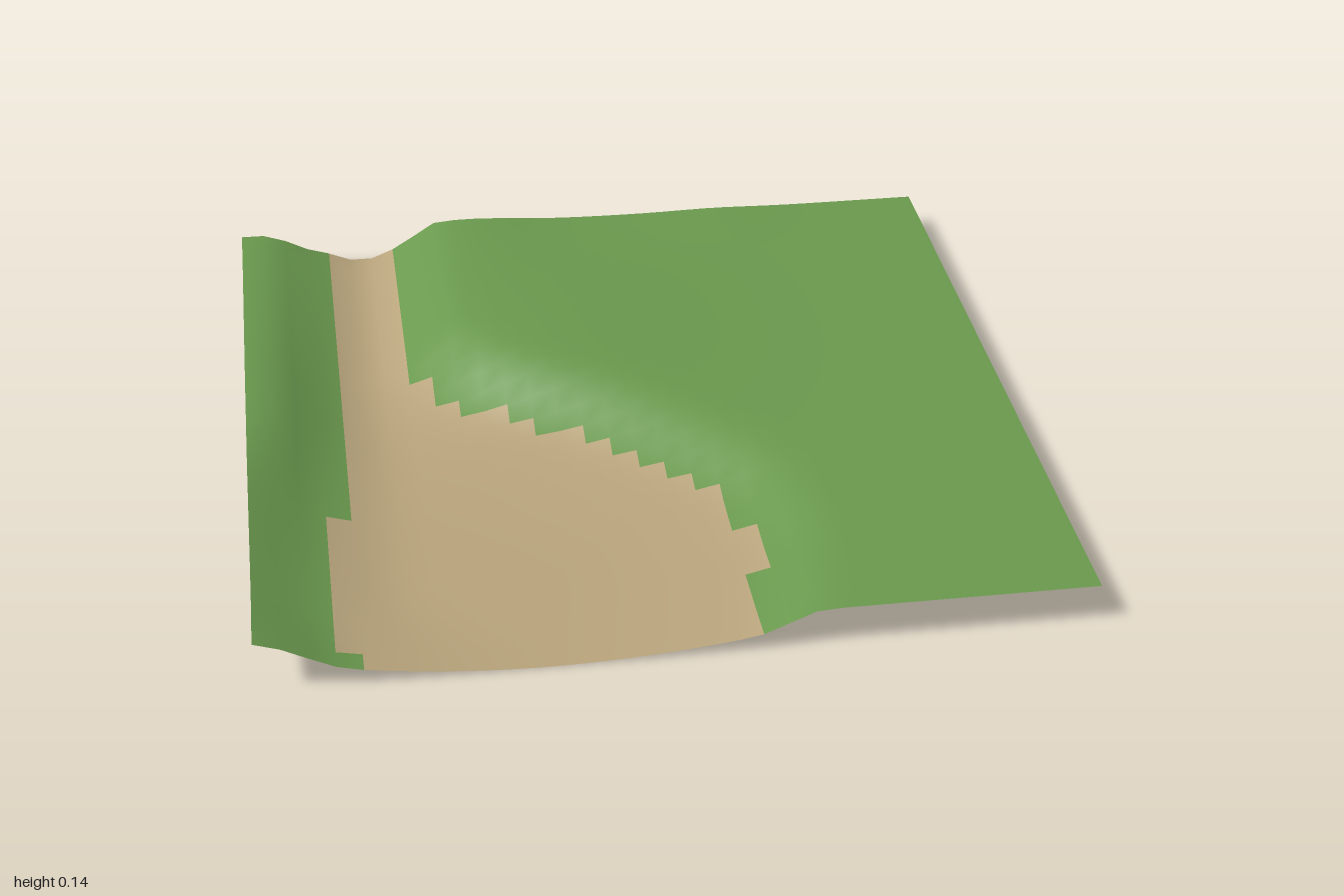
import * as THREE from 'three';

const N = 32, STEP = 2 / N;

// Piecewise-linear curve through [position, value] pairs
function curve(points, t) {
  if (t <= points[0][0]) return points[0][1];
  for (let i = 1; i < points.length; i++) {
    const [a, va] = points[i - 1], [b, vb] = points[i];
    if (t <= b) return va + (vb - va) * (t - a) / (b - a);
  }
  return points[points.length - 1][1];
}

// Shortest distance from (x, z) to a bank line given as [z, x] pairs
function distance(points, x, z) {
  let best = Infinity;
  for (let i = 1; i < points.length; i++) {
    const [az, ax] = points[i - 1], [bz, bx] = points[i];
    const dx = bx - ax, dz = bz - az;
    const t = THREE.MathUtils.clamp(((x - ax) * dx + (z - az) * dz) / (dx * dx + dz * dz), 0, 1);
    best = Math.min(best, Math.hypot(x - ax - t * dx, z - az - t * dz));
  }
  return best;
}

// Edges of the sandy bed, as [z, x]
const rightBank = [[-1.3, -0.56], [-0.35, -0.56], [-0.16, -0.48], [-0.03, -0.35], [0.09, -0.16],
  [0.22, 0], [0.35, 0.13], [0.45, 0.2], [0.65, 0.235], [0.8, 0.21], [1, 0.18], [1.3, 0.15]];
const leftBank = [[-1.3, -0.75], [0, -0.76], [0.4, -0.79], [0.8, -0.8], [1, -0.755], [1.3, -0.72]];
// Height of the ridge left of the bed, as [z, y]
const ridge = [[-1, 0.11], [-0.85, 0.108], [-0.6, 0.117], [-0.2, 0.135], [0.2, 0.142], [0.6, 0.142], [1, 0.138]];

function height(x, z) {
  const right = distance(rightBank, x, z), left = distance(leftBank, x, z);
  const edge = 0.038;
  if (x > curve(rightBank, z)) {
    const plateau = 0.1
      + 0.03 * Math.exp(-(((x + 0.2) / 0.42) ** 2) - ((z + 0.3) / 0.5) ** 2)
      + 0.018 * Math.exp(-(((x + 0.35) / 0.2) ** 2) - ((z + 1) / 0.35) ** 2)
      + 0.006 * Math.exp(-(((x - 0.4) / 0.15) ** 2) - ((z + 0.95) / 0.12) ** 2);
    const width = curve([[-0.6, 0.14], [0, 0.2], [0.4, 0.18], [1, 0.16]], z);
    const t = Math.min(1, (right + 0.01) / width);
    return edge + (plateau - edge) * (0.35 * t + 0.65 * t * t * (3 - 2 * t));
  }
  if (x < curve(leftBank, z)) {
    const width = curve([[-1, 0.19], [0, 0.2], [0.4, 0.24], [0.7, 0.27], [1, 0.25]], z);
    const t = Math.min(1, left / width);
    return edge + (curve(ridge, z) - edge) * (0.2 * t + 0.8 * t * t * (3 - 2 * t));
  }
  // Bowl-shaped bed, steeper on the left, gentle on the right
  const rightReach = curve([[-0.4, 0.14], [0.3, 0.5]], z);
  const r = Math.max(0, 1 - right / rightReach);
  const l = Math.max(0, 1 - left / curve([[-0.4, 0.14], [0.7, 0.2], [1, 0.45]], z));
  return edge * Math.min(1, Math.max(r, l) ** 2);
}

// Sandy cells of each row
const sandEnds = [...Array(12).fill(7), 8, 8, 9, 11, 12, 14, 15, 16, 17, 18, 19, 19, 19, 20, 20, 20, 19, 19, 19, 19];
const sandStart = row => (row >= 22 && row < 31 ? 3 : 4);

export function createModel() {
  const group = new THREE.Group();
  group.name = 'terrain';
  const grass = new THREE.MeshStandardMaterial({ color: 0x6a994e, side: THREE.DoubleSide });
  grass.name = 'grassGreen';
  const sand = new THREE.MeshStandardMaterial({ color: 0xb8a47c, side: THREE.DoubleSide });
  sand.name = 'sandTan';

  // Height grid shared by both surfaces
  const positions = [], grassIndex = [], sandIndex = [];
  for (let j = 0; j <= N; j++) {
    for (let i = 0; i <= N; i++) {
      const x = -1 + i * STEP, z = -1 + j * STEP;
      positions.push(x, height(x, z), z);
    }
  }
  for (let j = 0; j < N; j++) {
    for (let i = 0; i < N; i++) {
      const a = j * (N + 1) + i, b = a + 1, c = a + N + 1, d = c + 1;
      const target = i >= sandStart(j) && i < sandEnds[j] ? sandIndex : grassIndex;
      target.push(a, c, b, b, c, d);
    }
  }

  // Normals run smoothly across the colour border
  const whole = new THREE.BufferGeometry();
  whole.setAttribute('position', new THREE.Float32BufferAttribute(positions, 3));
  whole.setIndex([...grassIndex, ...sandIndex]);
  whole.computeVertexNormals();

  const addSurface = (name, index, material) => {
    const geometry = new THREE.BufferGeometry();
    geometry.setAttribute('position', whole.attributes.position);
    geometry.setAttribute('normal', whole.attributes.normal);
    geometry.setIndex(index);
    const mesh = new THREE.Mesh(geometry, material);
    mesh.name = name;
    group.add(mesh);
  };
  addSurface('grassLand', grassIndex, grass);
  addSurface('sandyBed', sandIndex, sand);
  return group;
}
